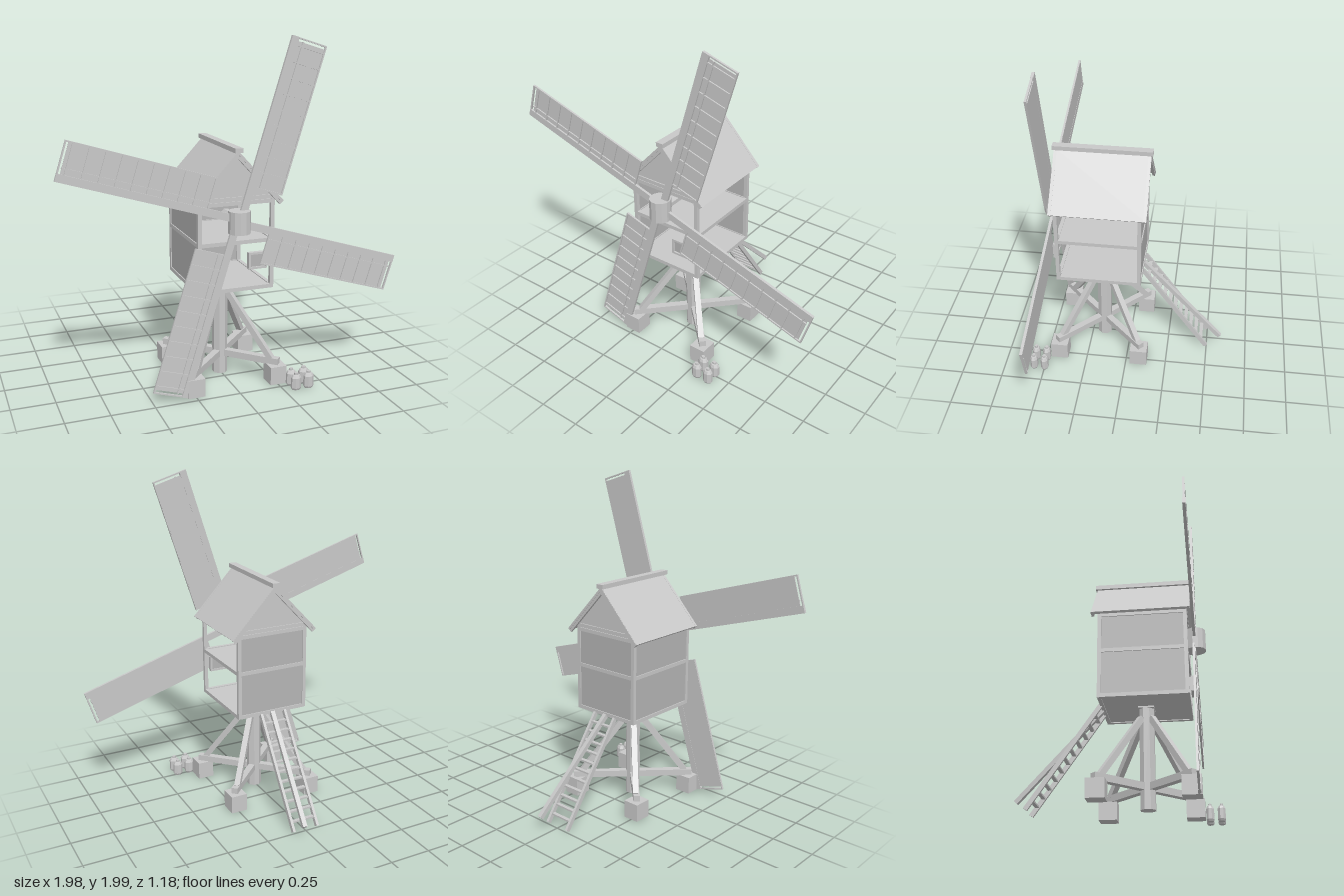
import * as THREE from 'three';

const timber = new THREE.MeshStandardMaterial({ color: 0xc8c8c8 });
timber.name = 'light grey timber';
const panel = new THREE.MeshStandardMaterial({ color: 0xb4b4b4 });
panel.name = 'grey wall panel';

const CZ = 0.17; // depth of the central post

function add(parent, name, geo, mat = timber) {
  const mesh = new THREE.Mesh(geo, mat);
  mesh.name = name;
  parent.add(mesh);
  return mesh;
}

function box(parent, name, w, h, d, x, y, z, mat) {
  const mesh = add(parent, name, new THREE.BoxGeometry(w, h, d), mat);
  mesh.position.set(x, y, z);
  return mesh;
}

// Square timber running from a to b
function beam(parent, name, a, b, w, h = w) {
  const p = new THREE.Vector3(...a), q = new THREE.Vector3(...b);
  const mesh = add(parent, name, new THREE.BoxGeometry(w, h, p.distanceTo(q)));
  mesh.position.copy(p).lerp(q, 0.5);
  mesh.lookAt(q);
  return mesh;
}

// Faceted upright solid
function prism(parent, name, r, h, sides, x, y, z) {
  const geo = new THREE.CylinderGeometry(r, r, h, sides, 1, false, Math.PI / sides).toNonIndexed();
  geo.computeVertexNormals();
  const mesh = add(parent, name, geo);
  mesh.position.set(x, y, z);
  return mesh;
}

function createTrestle() {
  const g = new THREE.Group();
  g.name = 'trestle';
  prism(g, 'centralPost', 0.045, 0.6, 8, 0, 0.31, CZ);
  box(g, 'postCollar', 0.09, 0.02, 0.09, 0, 0.6, CZ);
  for (const s of [-1, 1]) {
    beam(g, 'crossBeam', [-0.265, 0.137, CZ - s * 0.265], [0.265, 0.137, CZ + s * 0.265], 0.04);
    for (const t of [-1, 1]) {
      box(g, 'footBlock', 0.1, 0.107, 0.105, s * 0.25, 0.067, CZ + t * 0.25);
      beam(g, 'strut', [s * 0.03, 0.53, CZ + t * 0.03], [s * 0.23, 0.15, CZ + t * 0.235], 0.034);
    }
  }
  return g;
}

function createCabin() {
  const g = new THREE.Group();
  g.name = 'cabin';
  const hx = 0.215, hz = 0.245, f = 0.022;
  // Floors and ceiling
  for (const y of [0.605, 0.877, 1.1]) {
    box(g, 'floor', 2 * hx, 0.012, 2 * hz, 0, y, CZ);
    for (const s of [-1, 1]) {
      box(g, 'sideRail', f, f, 2 * hz, s * hx, y, CZ);
      box(g, 'endRail', 2 * hx, f, f, 0, y, CZ + s * hz);
    }
  }
  for (const s of [-1, 1]) for (const t of [-1, 1])
    box(g, 'cornerPost', f, 0.52, f, s * hx, 0.855, CZ + t * hz);
  // Closed walls; the front and left sides stay open
  box(g, 'rightWall', 0.01, 0.5, 2 * hz, -hx, 0.852, CZ, panel);
  box(g, 'backWall', 2 * hx, 0.5, 0.01, 0, 0.852, CZ - hz, panel);
  // Gables
  const tri = new THREE.Shape([[-0.24, 1.11], [0.24, 1.11], [0, 1.37]].map(p => new THREE.Vector2(...p)));
  for (const t of [-1, 1]) {
    const gable = add(g, 'gable', new THREE.ExtrudeGeometry(tri, { depth: 0.01, bevelEnabled: false }));
    gable.position.z = CZ + t * hz - 0.005;
    box(g, 'gableBeam', 0.45, 0.022, 0.024, 0, 1.125, CZ + t * hz);
  }
  // Window frame at the lower front
  box(g, 'windowPanel', 0.1, 0.08, 0.008, 0.12, 0.77, 0.435, panel);
  for (const s of [-1, 1]) {
    box(g, 'windowRail', 0.11, 0.012, 0.024, 0.12, 0.77 + s * 0.042, 0.437);
    box(g, 'windowStile', 0.012, 0.09, 0.024, 0.12 + s * 0.05, 0.77, 0.437);
  }
  return g;
}

function createRoof() {
  const g = new THREE.Group();
  g.name = 'roof';
  const z = 0.163, len = Math.hypot(0.27, 0.29), a = Math.atan2(0.29, 0.27);
  for (const s of [-1, 1]) {
    const slope = box(g, 'roofSlope', len, 0.014, 0.565, s * 0.131, 1.24, z);
    slope.rotation.z = -s * a;
    for (const t of [-1, 1]) {
      const board = box(g, 'bargeBoard', len, 0.03, 0.016, s * 0.127, 1.234, z + t * 0.272);
      board.rotation.z = -s * a;
    }
  }
  box(g, 'ridgeCap', 0.046, 0.026, 0.585, 0, 1.395, z);
  return g;
}

// One sail pointing along +y, its cloth on the +x side
function createSail() {
  const g = new THREE.Group();
  g.name = 'sail';
  box(g, 'stock', 0.042, 1.035, 0.016, 0.01, 0.5175, 0);
  box(g, 'cloth', 0.185, 0.815, 0.005, 0.108, 0.607, -0.004);
  box(g, 'outerBar', 0.008, 0.84, 0.012, 0.2, 0.615, 0);
  box(g, 'innerBar', 0.008, 0.82, 0.012, 0.062, 0.607, 0);
  for (let i = 0; i <= 10; i++) {
    const y = i < 10 ? 0.2 + i * 0.088 : 1.031;
    box(g, 'sailRib', 0.2, 0.008, 0.012, 0.103, y, 0);
  }
  return g;
}

function createRotor() {
  const g = new THREE.Group();
  g.name = 'rotor';
  for (let i = 0; i < 4; i++) {
    const sail = createSail();
    sail.rotation.z = -0.3 - i * Math.PI / 2;
    g.add(sail);
  }
  prism(g, 'hub', 0.062, 0.126, 12, 0, 0, 0.005);
  const axle = prism(g, 'axle', 0.03, 0.2, 8, 0, 0, -0.1);
  axle.rotation.x = Math.PI / 2;
  g.position.set(0, 1.006, 0.458);
  return g;
}

function createLadder() {
  const g = new THREE.Group();
  g.name = 'ladder';
  for (const s of [-1, 1])
    beam(g, 'ladderRail', [s * 0.078, 0.6, -0.085], [s * 0.078, 0.018, -0.495], 0.016, 0.026);
  for (let i = 1; i < 12; i++) {
    const t = i / 12;
    box(g, 'rung', 0.15, 0.01, 0.022, 0, 0.6 - 0.582 * t, -0.085 - 0.41 * t);
  }
  return g;
}

function createJars() {
  const g = new THREE.Group();
  g.name = 'jars';
  const profile = [[0, 0], [0.024, 0], [0.031, 0.012], [0.031, 0.072], [0.022, 0.088],
    [0.012, 0.09], [0.012, 0.102], [0, 0.102]].map(p => new THREE.Vector2(...p));
  const geo = new THREE.LatheGeometry(profile, 8, Math.PI / 8).toNonIndexed();
  geo.computeVertexNormals();
  for (const x of [0.317, 0.396]) for (const z of [0.497, 0.563]) {
    const jar = add(g, 'jar', geo);
    jar.position.set(x, 0.013, z);
    jar.scale.z = 0.78;
  }
  return g;
}

export function createModel() {
  const model = new THREE.Group();
  model.name = 'postMill';
  model.add(createTrestle(), createCabin(), createRoof(), createRotor(), createLadder(), createJars());
  // Pole for turning the mill into the wind
  beam(model, 'tailPole', [0, 0.6, -0.08], [0.055, 0.09, -0.58], 0.026);
  return model;
}
